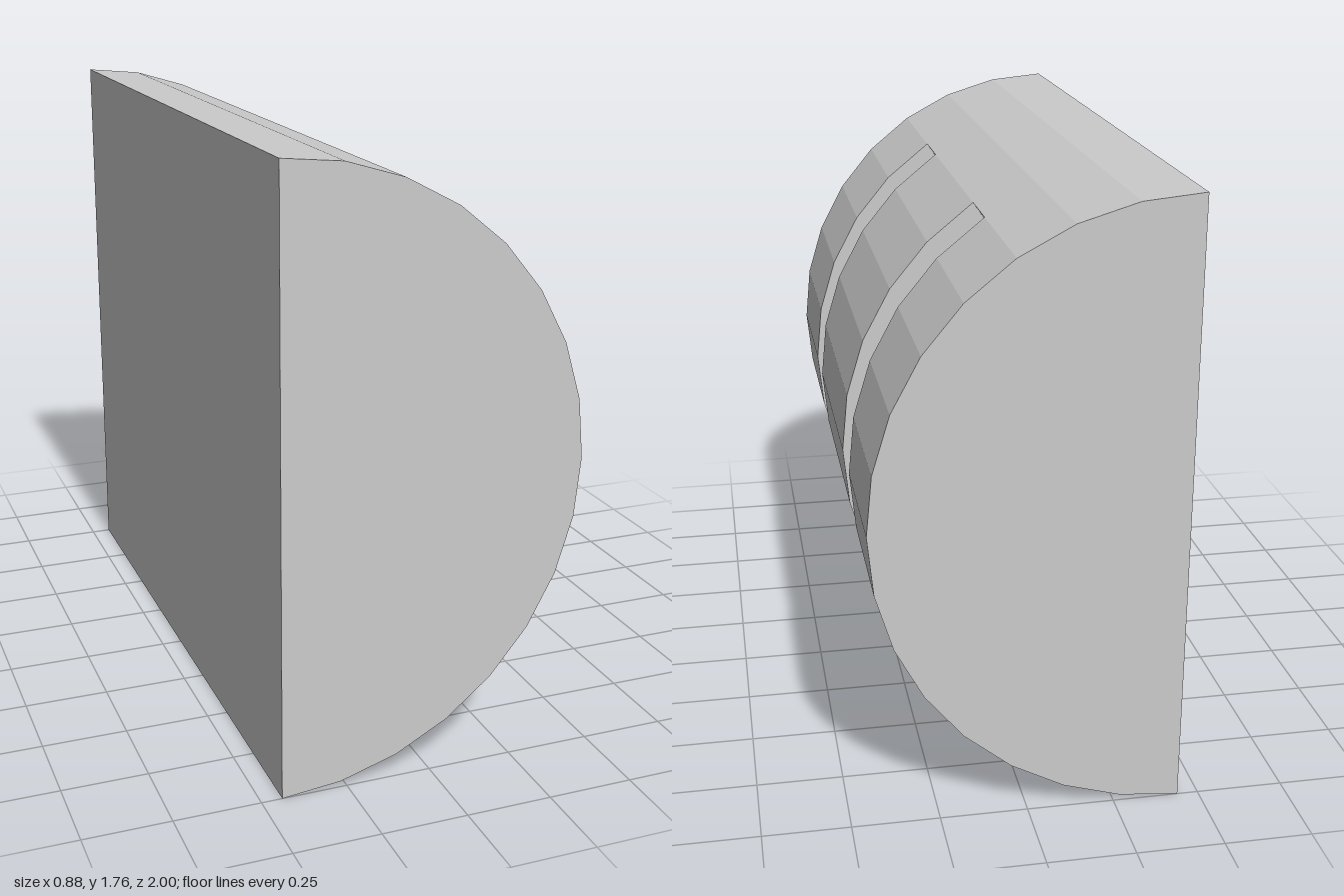
import * as THREE from 'three';

const R = 0.88, CORE = 0.36, CX = -0.44, CY = 0.88;
const STEP = Math.PI / 16; // facet angle of the half round

// Points of an arc about the flat face's middle, counted in facets from the bottom
function arc(radius, from, to, cy = CY) {
  const points = [];
  for (let i = from; i <= to; i++) {
    const a = -Math.PI / 2 + i * STEP;
    points.push(new THREE.Vector2(CX + radius * Math.cos(a), cy + radius * Math.sin(a)));
  }
  return points;
}

export function createModel() {
  const group = new THREE.Group();
  group.name = 'slottedHalfCylinder';
  const material = new THREE.MeshStandardMaterial({ color: 0xcccccc, flatShading: true });

  // Plain half-round section, and the section cut back to the core by a slot
  const solid = new THREE.Shape(arc(R, 0, 16));
  const slotted = new THREE.Shape([
    ...arc(R, 0, 4),
    ...arc(CORE, 4, 13, CY + 0.005),
    ...arc(R, 13, 16),
  ]);

  // Slices along z, from back to front
  const slices = [
    ['backBlock', solid, -1, -0.56],
    ['backSlot', slotted, -0.56, -0.38],
    ['middleBlock', solid, -0.38, 0.32],
    ['frontSlot', slotted, 0.32, 0.5],
    ['frontBlock', solid, 0.5, 1],
  ];
  for (const [name, shape, z0, z1] of slices) {
    const geometry = new THREE.ExtrudeGeometry(shape, { depth: z1 - z0, bevelEnabled: false });
    const mesh = new THREE.Mesh(geometry, material);
    mesh.name = name;
    mesh.position.z = z0;
    group.add(mesh);
  }
  return group;
}
